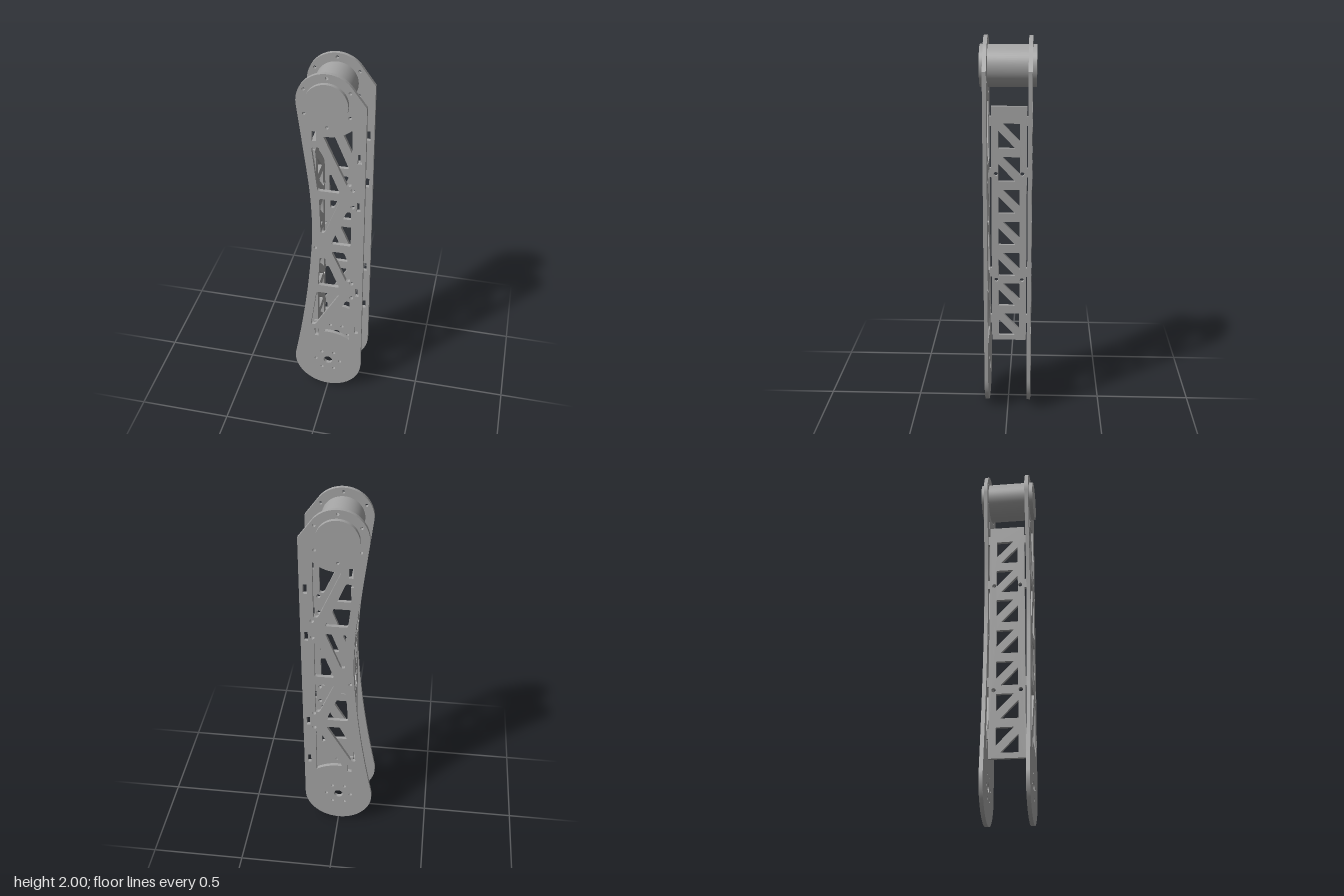
import * as THREE from 'three';
import { toCreasedNormals } from 'three/addons/utils/BufferGeometryUtils.js';

const THICK = 0.02;
const TOP = 1.85, BASE = 0.19; // pivot heights

// Closed path through points, with softened corners
function roundedPath(pts, r = 0.012) {
  const path = new THREE.Path();
  const v = pts.map(([x, y]) => new THREE.Vector2(x, y));
  v.forEach((p, i) => {
    const toward = (q) => p.clone().lerp(q, Math.min(0.45, r / p.distanceTo(q)));
    const a = toward(v[(i + v.length - 1) % v.length]);
    const b = toward(v[(i + 1) % v.length]);
    if (i === 0) path.moveTo(a.x, a.y);
    else path.lineTo(a.x, a.y);
    path.quadraticCurveTo(p.x, p.y, b.x, b.y);
  });
  path.closePath();
  return path;
}

function circle(x, y, r) {
  return new THREE.Path().absarc(x, y, r, 0, Math.PI * 2, true);
}

function rect(x, y, w, h) {
  return new THREE.Path([[-1, -1], [-1, 1], [1, 1], [1, -1]].map(
    ([a, b]) => new THREE.Vector2(x + a * w / 2, y + b * h / 2)));
}

function arcPoints(cy, r, fromDeg, toDeg, n = 8) {
  return Array.from({ length: n + 1 }, (_, i) => {
    const a = THREE.MathUtils.degToRad(fromDeg + (toDeg - fromDeg) * i / n);
    return [r * Math.cos(a), cy + r * Math.sin(a)];
  });
}

function extrude(shape) {
  const geo = new THREE.ExtrudeGeometry(shape, { depth: THICK, bevelEnabled: false, curveSegments: 20 });
  return toCreasedNormals(geo, 0.5);
}

function sidePlateGeometry() {
  const s = new THREE.Shape();
  // Outline: round foot, straight edge, chamfer, round head, waisted edge
  s.moveTo(-0.188, 0.216);
  arcPoints(BASE, 0.19, 172, 360, 60).forEach(([x, y]) => s.lineTo(x, y));
  s.lineTo(0.19, 1.845);
  arcPoints(TOP, 0.15, 36, 188, 48).forEach(([x, y]) => s.lineTo(x, y));
  s.splineThru([[-0.122, 1.62], [-0.09, 1.35], [-0.08, 1.13], [-0.088, 0.95],
    [-0.112, 0.7], [-0.147, 0.45], [-0.188, 0.216]].map(([x, y]) => new THREE.Vector2(x, y)));

  // Truss openings
  const openings = [
    [[0.1, 1.405], [0.123, 1.405], ...arcPoints(TOP, 0.178, -46, -96)],
    [[-0.078, 1.605], [-0.04, 1.61], [0.065, 1.357], [-0.05, 1.357]],
    [[-0.042, 1.31], [0.065, 1.31], [-0.015, 1.1], [-0.036, 1.1]],
    [[0.1, 1.25], [0.123, 1.25], [0.123, 1.035], [0.02, 1.035]],
    [[0.02, 0.985], [0.123, 0.985], [0.123, 0.795], [0.1, 0.795]],
    [[-0.042, 0.935], [-0.013, 0.935], [0.065, 0.745], [-0.053, 0.745]],
    [[-0.062, 0.695], [0.065, 0.695], [-0.07, 0.455], [-0.097, 0.45]],
    [[0.1, 0.655], [0.123, 0.655], ...arcPoints(BASE, 0.22, 56, 96)],
  ];
  openings.forEach((o) => s.holes.push(roundedPath(o)));

  // Slots for cross panels
  [1.567, 1.287, 0.727, 0.452].forEach((y) => s.holes.push(rect(0.161, y, 0.02, 0.053)));
  [1.669, 0.397].forEach((y) => s.holes.push(rect(-0.064, y, 0.022, 0.053)));

  // Screw holes
  [1.383, 1.283, 0.785, 0.685].forEach((y) => s.holes.push(circle(0.13, y, 0.011)));
  s.holes.push(circle(-0.064, 0.997, 0.009), circle(0, BASE, 0.025));
  for (let i = 0; i < 6; i++) {
    const a = i * Math.PI / 3, b = a + Math.PI / 6;
    s.holes.push(circle(0.069 * Math.cos(a), BASE + 0.069 * Math.sin(a), 0.009));
    s.holes.push(circle(0.128 * Math.cos(b), TOP + 0.128 * Math.sin(b), 0.008));
  }
  return extrude(s);
}

function crossPanelGeometry() {
  const s = new THREE.Shape();
  s.moveTo(-0.094, 0.312).lineTo(0.094, 0.312).lineTo(0.094, 1.632).lineTo(-0.094, 1.632).closePath();
  // Seven windows, each split by a diagonal strut
  for (let i = 0; i < 7; i++) {
    const top = 1.542 - i * 0.1782, bottom = top - 0.132, w = 0.057;
    s.holes.push(roundedPath([[0.034, top], [-w, top], [-w, top - 0.095]], 0.004));
    s.holes.push(roundedPath([[w, top - 0.037], [w, bottom], [-0.034, bottom]], 0.004));
  }
  for (const z of [-0.07, 0.07]) {
    for (const y of [1.272, 0.672]) s.holes.push(circle(z, y, 0.011));
  }
  return extrude(s).rotateY(-Math.PI / 2);
}

export function createModel() {
  const model = new THREE.Group();
  model.name = 'linkArm';
  const metal = new THREE.MeshStandardMaterial({ color: 0xa5a5a5 });
  metal.name = 'grey metal';

  function add(name, geometry, x, y, z, parent = model) {
    const mesh = new THREE.Mesh(geometry, metal);
    mesh.name = name;
    mesh.position.set(x, y, z);
    parent.add(mesh);
    return mesh;
  }

  // Matching side plates
  const plate = sidePlateGeometry();
  add('frontPlate', plate, 0, 0, 0.103);
  add('backPlate', plate, 0, 0, -0.123);

  // Pivot drum through the head
  add('pivotDrum', new THREE.CylinderGeometry(0.106, 0.106, 0.287, 64).rotateX(Math.PI / 2), 0, TOP, 0);

  // Lattice panel between the plates, with side tabs
  const panel = new THREE.Group();
  panel.name = 'crossPanel';
  panel.position.x = -0.062;
  model.add(panel);
  add('lattice', crossPanelGeometry(), 0, 0, 0, panel);
  const tab = new THREE.BoxGeometry(THICK, 0.05, 0.012);
  for (const y of [1.555, 1.28, 0.717, 0.44]) {
    for (const side of [-1, 1]) add('panelTab', tab, -THICK / 2, y, side * 0.1, panel);
  }
  return model;
}
